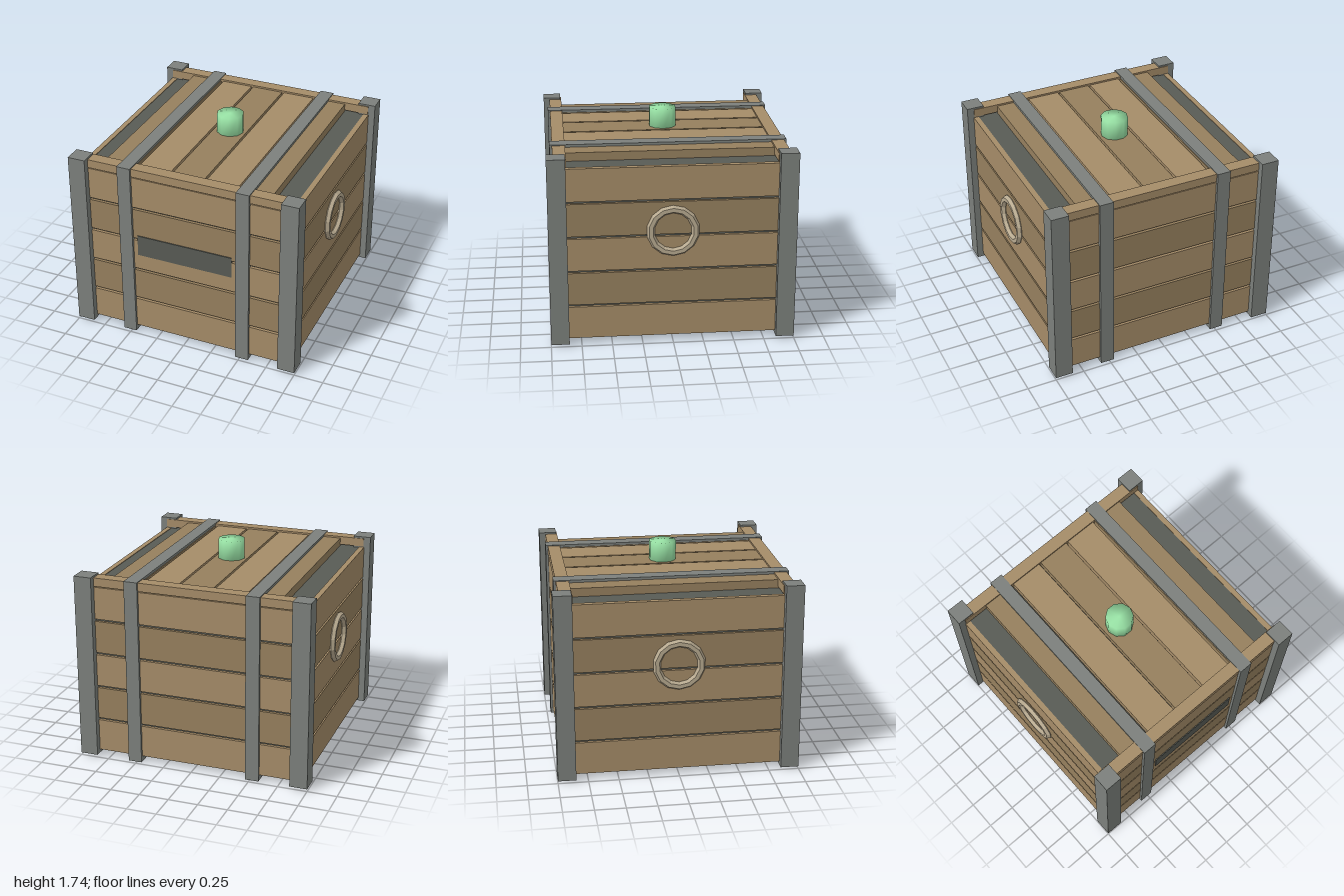
import * as THREE from 'three';
import { mergeVertices } from 'three/addons/utils/BufferGeometryUtils.js';

const mat = (color) => new THREE.MeshStandardMaterial({ color });

export function createModel() {
  const crate = new THREE.Group();
  crate.name = 'crate';
  const wood = [mat(0xa58c68), mat(0x96805e)];
  const metal = mat(0x7c807c);
  const dark = mat(0x585b55);
  const rope = mat(0xb8aa90);
  const green = mat(0x9be6a8);

  const add = (name, geometry, material, x = 0, y = 0, z = 0) => {
    const mesh = new THREE.Mesh(geometry, material);
    mesh.name = name;
    mesh.position.set(x, y, z);
    crate.add(mesh);
    return mesh;
  };
  // Box given by its lower and upper corner
  const box = (name, material, [x0, y0, z0], [x1, y1, z1]) =>
    add(name, new THREE.BoxGeometry(x1 - x0, y1 - y0, z1 - z0), material,
      (x0 + x1) / 2, (y0 + y1) / 2, (z0 + z1) / 2);

  // Dark core seen through the gaps
  box('innerBox', dark, [-0.92, 0.06, -0.92], [0.92, 1.5, 0.92]);

  // Wall planks, five rows on each side
  const pitch = 0.295;
  for (let i = 0; i < 5; i++) {
    const y0 = 0.05 + i * pitch;
    const y1 = y0 + 0.275;
    const m = wood[i % 2];
    box('frontPlank', m, [-0.9, y0, 0.9], [0.9, y1, 0.945]);
    box('backPlank', m, [-0.9, y0, -0.945], [0.9, y1, -0.9]);
    box('leftPlank', m, [0.9, y0, -0.9], [0.945, y1, 0.9]);
    box('rightPlank', m, [-0.945, y0, -0.9], [-0.9, y1, 0.9]);
  }

  // Lid planks, leaving an open slot at either side
  for (let i = -2; i <= 2; i++) {
    const x = i * pitch;
    box('lidPlank', wood[Math.abs(i) % 2 ? 0 : 1], [x - 0.138, 1.49, -0.85], [x + 0.138, 1.57, 0.85]);
  }

  for (const s of [-1, 1]) {
    // Rails across the front and back of the lid
    add('lidRail', new THREE.BoxGeometry(1.88, 0.072, 0.105), wood[0], 0, 1.549, s * 0.895);

    // Corner posts
    for (const t of [-1, 1]) {
      add('cornerPost', new THREE.BoxGeometry(0.15, 1.58, 0.15), metal, s * 0.925, 0.81, t * 0.925);
    }

    // Strap: a rectangular band wrapped around front, top, back and bottom
    const band = new THREE.Shape([[-0.967, 0], [0.967, 0], [0.967, 1.592], [-0.967, 1.592]]
      .map(([u, v]) => new THREE.Vector2(u, v)));
    band.holes.push(new THREE.Path([[-0.92, 0.06], [-0.92, 1.545], [0.92, 1.545], [0.92, 0.06]]
      .map(([u, v]) => new THREE.Vector2(u, v))));
    const strapGeo = new THREE.ExtrudeGeometry(band, { depth: 0.116, bevelEnabled: false });
    strapGeo.translate(0, 0, -0.058).rotateY(Math.PI / 2);
    add('strap', strapGeo, metal, s * 0.518, 0, 0);

    // Ring handle half sunk into the side wall
    const ringGeo = new THREE.TorusGeometry(0.183, 0.033, 6, 14);
    ringGeo.rotateZ(Math.PI / 2).rotateY(Math.PI / 2);
    const ringMat = rope.clone();
    ringMat.flatShading = true;
    add('ringHandle', ringGeo, ringMat, s * 0.952, 0.965, 0);
  }

  // Name plate on the front
  box('frontPlate', dark, [-0.42, 0.78, 0.93], [0.42, 0.965, 0.953]);

  // Knob with soft shading across its edges
  let knob = new THREE.CylinderGeometry(0.115, 0.115, 0.17, 10).rotateY(Math.PI / 2);
  knob.deleteAttribute('normal');
  knob.deleteAttribute('uv');
  knob = mergeVertices(knob);
  knob.computeVertexNormals();
  add('knob', knob, green, 0, 1.65, 0);

  return crate;
}
